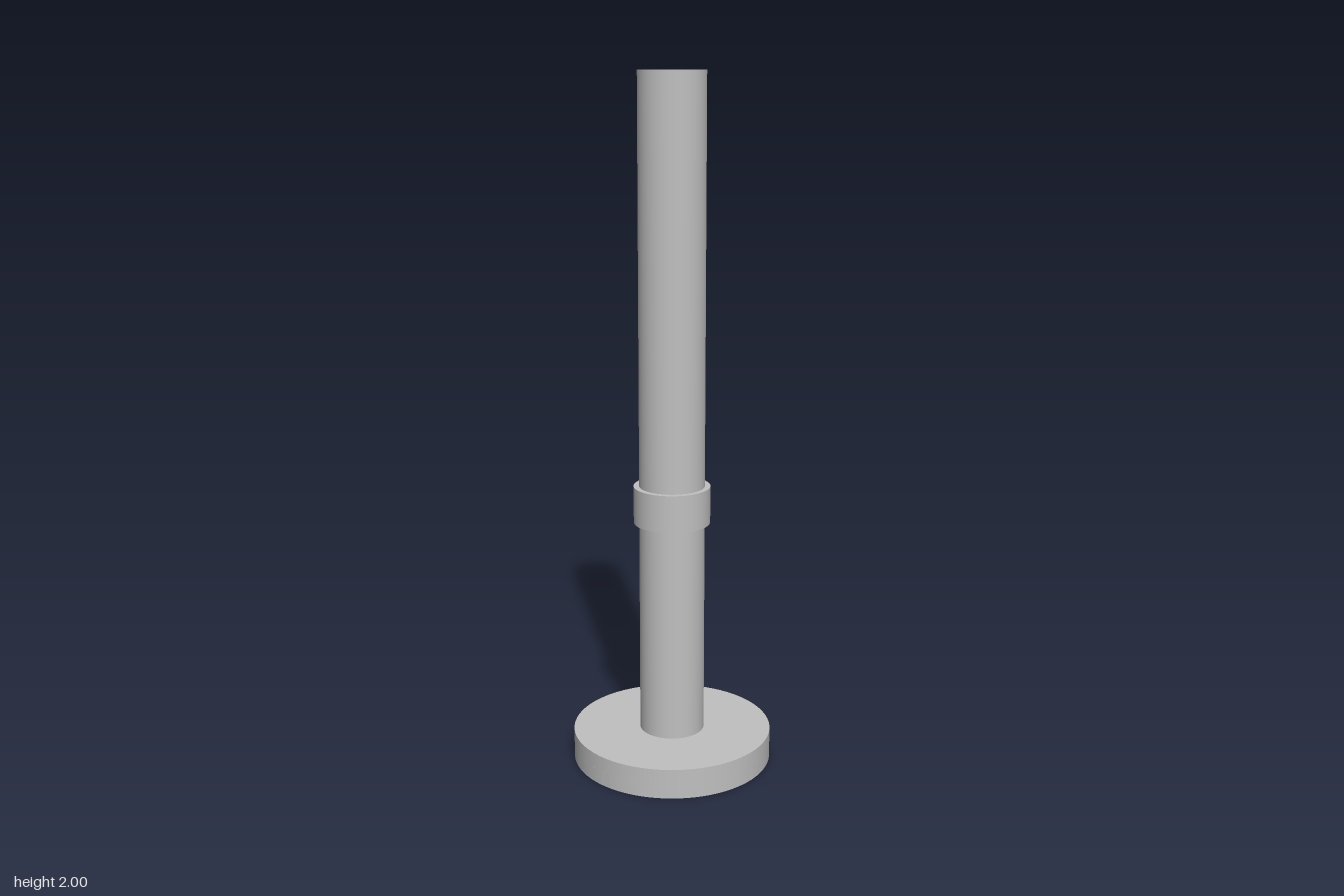
import * as THREE from 'three';
import { toCreasedNormals } from 'three/addons/utils/BufferGeometryUtils.js';

const SEGMENTS = 96;

export function createModel() {
  const model = new THREE.Group();
  model.name = 'slottedPin';

  const metal = new THREE.MeshStandardMaterial({ color: 0xc0c0c0 });
  metal.name = 'greyMetal';

  const add = (name, geometry) => {
    const mesh = new THREE.Mesh(geometry, metal);
    mesh.name = name;
    model.add(mesh);
  };
  const cylinder = (radius, bottom, top) =>
    new THREE.CylinderGeometry(radius, radius, top - bottom, SEGMENTS)
      .translate(0, (bottom + top) / 2, 0);

  const headRadius = 0.293, headTop = 0.088, slotDepth = 0.044;
  const slotLength = 0.44, slotWidth = 0.058;

  // Lower half of the head, pierced by the screwdriver slot
  const disc = new THREE.Shape().absarc(0, 0, headRadius, 0, Math.PI * 2);
  const l = slotLength / 2, w = slotWidth / 2;
  disc.holes.push(new THREE.Path([
    new THREE.Vector2(-l, -w), new THREE.Vector2(-l, w),
    new THREE.Vector2(l, w), new THREE.Vector2(l, -w),
  ]));
  const slotted = new THREE.ExtrudeGeometry(disc, {
    depth: slotDepth, bevelEnabled: false, curveSegments: SEGMENTS,
  }).rotateX(-Math.PI / 2);
  add('slottedHead', toCreasedNormals(slotted, 0.5));

  // Upper half of the head closes the slot
  add('headCap', cylinder(headRadius, slotDepth, headTop));

  // Shaft and its collar
  add('shaft', cylinder(0.095, headTop, 2));
  add('collar', cylinder(0.111, 0.727, 0.836));

  return model;
}
